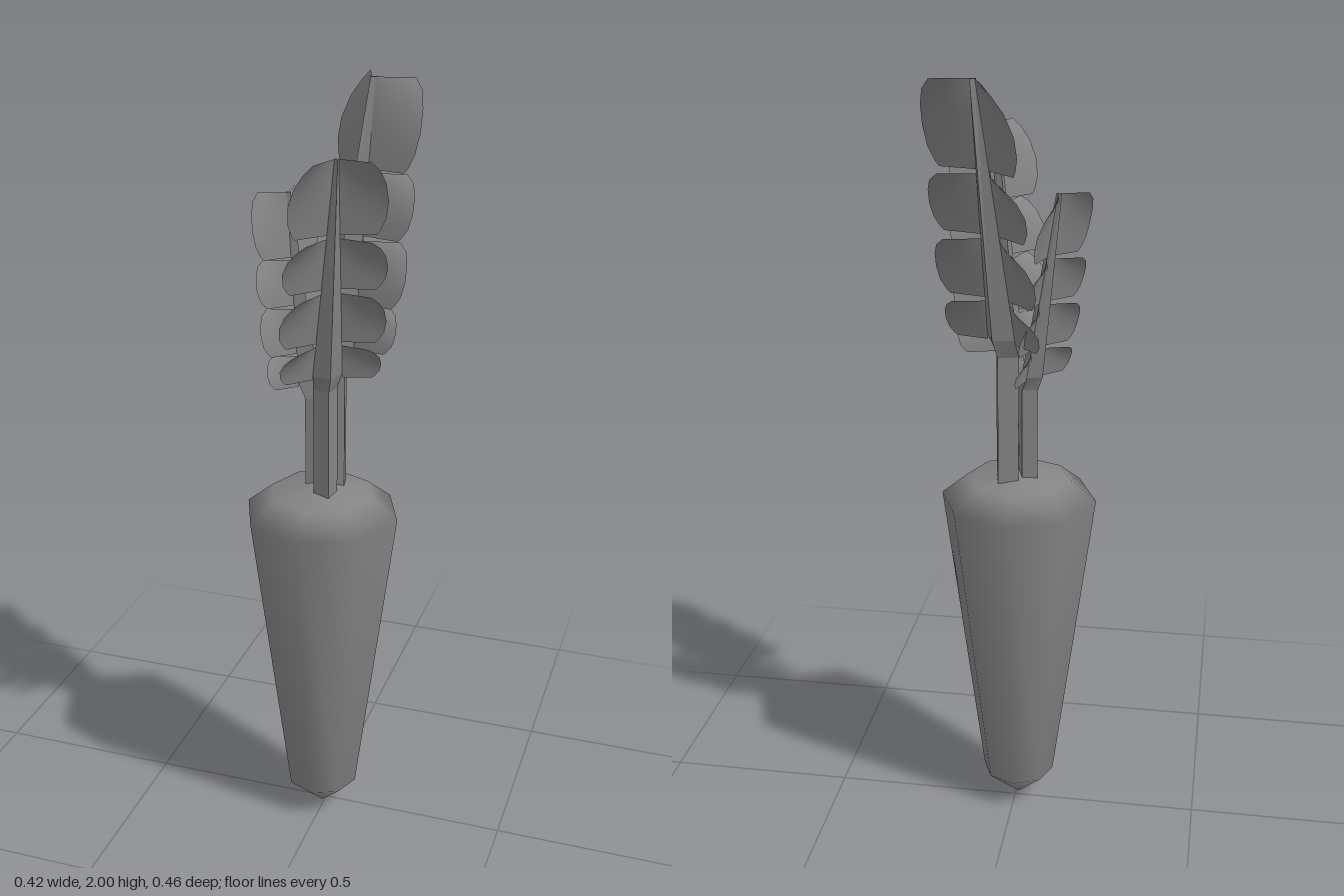
import * as THREE from 'three';

const rootGrey = new THREE.MeshStandardMaterial({ color: 0x848484 });
const stalkGrey = new THREE.MeshStandardMaterial({ color: 0x848484, flatShading: true });
const lobeGrey = new THREE.MeshStandardMaterial({ color: 0x848484, side: THREE.DoubleSide });

// Rib stations in leaf space (+x points outward): [height, inner x, side x, outer x, half width]
const KINK = [0.40, 0.015, 0.07, 0.105, 0.043];
const TIP = [1.03, 0.155, 0.166, 0.178, 0.006];
const RIB = [[0, 0, 0.045, 0.084, 0.036], [0.35, 0, 0.045, 0.084, 0.036], KINK, TIP];

// Diamond-section stalk that leans out and tapers to the tip
function ribGeometry() {
  const pos = [], idx = [];
  for (const [y, inner, side, outer, w] of RIB) {
    pos.push(inner, y, 0, side, y, w, outer, y, 0, side, y, -w);
  }
  for (let r = 0; r < RIB.length - 1; r++) {
    for (let i = 0; i < 4; i++) {
      const a = r * 4 + i, b = r * 4 + (i + 1) % 4;
      idx.push(a, b, b + 4, a, b + 4, a + 4);
    }
  }
  const t = (RIB.length - 1) * 4;
  idx.push(t, t + 1, t + 2, t, t + 2, t + 3, 0, 2, 1, 0, 3, 2);
  const g = new THREE.BufferGeometry();
  g.setAttribute('position', new THREE.Float32BufferAttribute(pos, 3));
  g.setIndex(idx);
  g.computeVertexNormals();
  return g;
}

// Rounded lobe: inner edge on the rib's side edge, outer edge curling out towards its top
const EDGE = [[0, 0.74], [0.06, 0.82], [0.22, 0.94], [0.45, 1], [0.7, 0.98], [0.88, 0.9], [1, 0.74]];
const SPREAD = THREE.MathUtils.degToRad(60);
function lobeGeometry(y0, y1, width, side) {
  const g = new THREE.PlaneGeometry(1, 1, 4, EDGE.length - 1);
  const p = g.attributes.position;
  for (let i = 0; i < p.count; i++) {
    const [v, reach] = EDGE[Math.floor(i / 5)];
    const u = (i % 5) / 4 * reach;
    const y = THREE.MathUtils.lerp(y0, y1, v);
    const t = (y - KINK[0]) / (TIP[0] - KINK[0]);
    const x = THREE.MathUtils.lerp(KINK[2], TIP[2], t);
    const z = THREE.MathUtils.lerp(KINK[4], TIP[4], t);
    const along = u * width;
    const curl = along * (-0.26 + 0.46 * v ** 3);
    p.setXYZ(i,
      x + along * Math.cos(SPREAD) + curl * Math.sin(SPREAD),
      y,
      side * (z + along * Math.sin(SPREAD) - curl * Math.cos(SPREAD)));
  }
  g.computeVertexNormals();
  return g;
}

// Lobes from bottom to top: [low, high, width]
const LOBES = [[0.388, 0.49, 0.108], [0.5, 0.65, 0.122], [0.662, 0.81, 0.126], [0.82, 1.03, 0.127]];

function makeLeaf(name, degrees, scale) {
  const leaf = new THREE.Group();
  leaf.name = name;
  const rib = new THREE.Mesh(ribGeometry(), stalkGrey);
  rib.name = 'stalk';
  leaf.add(rib);
  for (const side of [1, -1]) {
    for (const [y0, y1, w] of LOBES) {
      const lobe = new THREE.Mesh(lobeGeometry(y0, y1, w, side), lobeGrey);
      lobe.name = 'leafLobe';
      leaf.add(lobe);
    }
  }
  leaf.rotation.y = THREE.MathUtils.degToRad(degrees);
  leaf.scale.setScalar(scale);
  leaf.position.set(-0.007, 0.97, 0.016);
  return leaf;
}

export function createModel() {
  const model = new THREE.Group();
  model.name = 'carrot';

  // Eight-sided tapered root with a shallow domed top
  const profile = [[0, 0], [0.097, 0.09], [0.203, 0.92], [0.135, 0.975], [0, 1]]
    .map(([r, y]) => new THREE.Vector2(r, y));
  const root = new THREE.Mesh(new THREE.LatheGeometry(profile, 8), rootGrey);
  root.name = 'root';
  root.position.set(-0.007, 0, 0.016);
  model.add(root);

  // Three leaves of different sizes
  model.add(makeLeaf('tallLeaf', 60, 1));
  model.add(makeLeaf('shortLeaf', 149, 0.738));
  model.add(makeLeaf('middleLeaf', -58, 0.864));
  return model;
}
